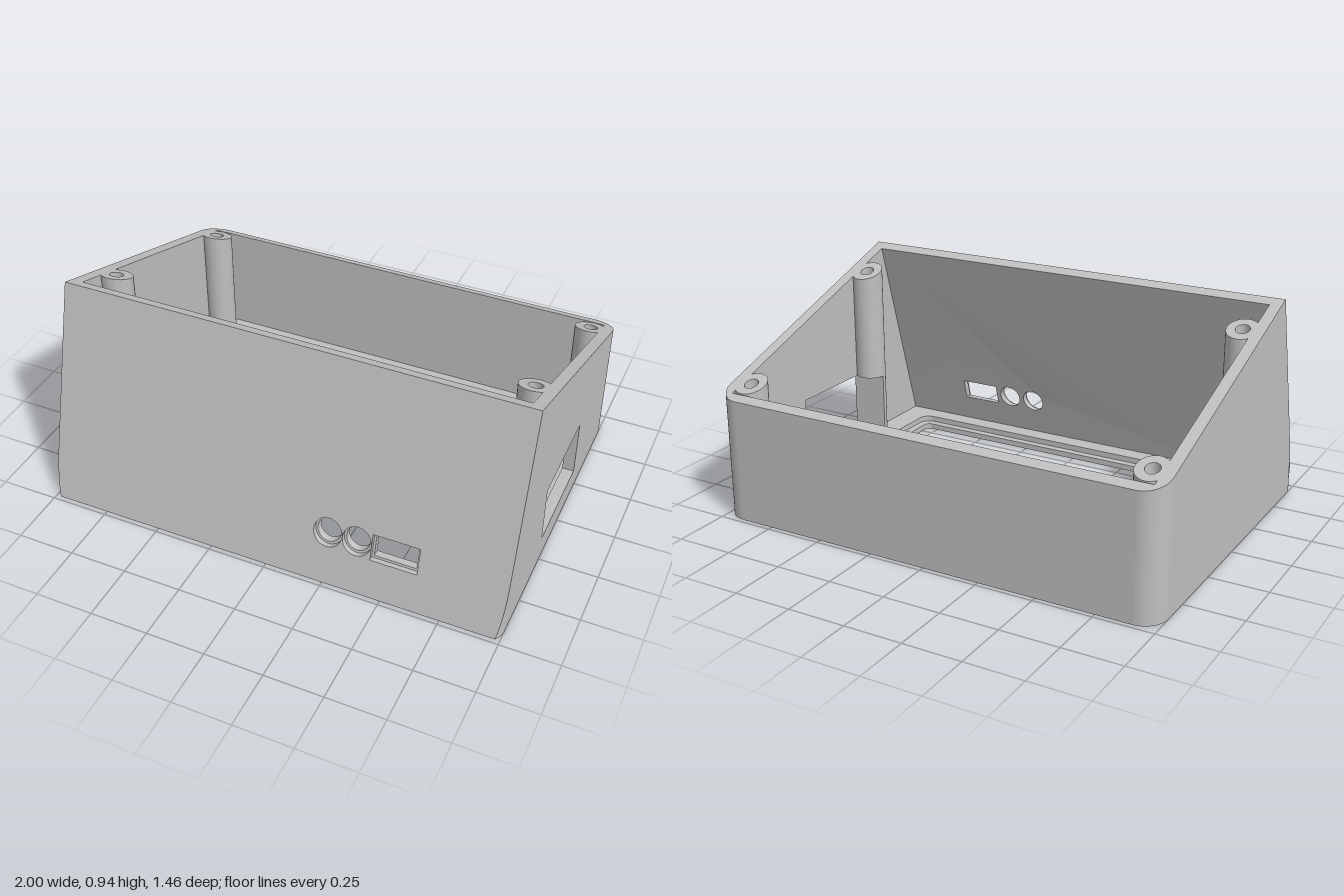
import * as THREE from 'three';
import { toCreasedNormals } from 'three/addons/utils/BufferGeometryUtils.js';

const SIDE = 0.95;                                 // inner face of the side walls
const BACK = -0.73, CORNER_Z = 0.67, R = 0.1;      // footprint and corner radius
const topY = z => 0.935 - (0.465 - z) * 0.339;     // sloping rim
const frontZ = y => 0.73 - 0.2834 * y;             // leaning front

const poly = pts => new THREE.Shape(pts.map(p => new THREE.Vector2(p[0], p[1])));
const rectPath = (x0, y0, x1, y1) =>
  new THREE.Path([[x0, y0], [x1, y0], [x1, y1], [x0, y1]].map(p => new THREE.Vector2(...p)));
const circlePath = (x, y, r) => new THREE.Path().absarc(x, y, r, 0, Math.PI * 2, true);

function roundedPath(x0, y0, x1, y1, r) {
  const p = new THREE.Path();
  p.absarc(x1 - r, y1 - r, r, 0, Math.PI / 2);
  p.absarc(x0 + r, y1 - r, r, Math.PI / 2, Math.PI);
  p.absarc(x0 + r, y0 + r, r, Math.PI, Math.PI * 1.5);
  p.absarc(x1 - r, y0 + r, r, Math.PI * 1.5, Math.PI * 2);
  p.closePath();
  return p;
}

const extrude = (shape, depth) =>
  new THREE.ExtrudeGeometry(shape, { depth, bevelEnabled: false, curveSegments: 20 });

// Move every vertex by a rule, then rebuild normals with sharp edges kept
function reshape(geo, rule) {
  const p = geo.attributes.position, v = new THREE.Vector3();
  for (let i = 0; i < p.count; i++) {
    v.fromBufferAttribute(p, i);
    rule(v);
    p.setXYZ(i, v.x, v.y, v.z);
  }
  geo.computeVertexNormals();
  return toCreasedNormals(geo, 0.6);
}

// Plan shape (x, -z) raised from y0 to y1; without y1 it ends at the sloping rim
const raise = (shape, y0, y1) => reshape(extrude(shape, 1).rotateX(-Math.PI / 2), v => {
  v.y = v.y > 0.5 ? (y1 ?? topY(v.z)) : y0;
});

export function createModel() {
  const model = new THREE.Group();
  const grey = new THREE.MeshStandardMaterial({ color: 0xc0c0c0 });
  grey.name = 'light grey';
  const add = (name, geo) => {
    const mesh = new THREE.Mesh(geo, grey);
    mesh.name = name;
    model.add(mesh);
  };

  // Side walls, with a socket opening in the left one
  for (const s of [1, -1]) {
    const x0 = s > 0 ? SIDE : -1;
    const bendY = (0.73 - CORNER_Z) / 0.2834;
    const wall = poly([[-CORNER_Z, 0], [0.63, 0], [0.63, topY(-0.63)], [-0.465, 0.935], [-CORNER_Z, bendY]]);
    if (s > 0) wall.holes.push(rectPath(-0.235, 0.105, 0.21, 0.36));
    add(s > 0 ? 'leftWall' : 'rightWall',
      extrude(wall, 0.05).rotateY(Math.PI / 2).translate(x0, 0, 0));

    // Rounded lower front corner
    const pts = [];
    for (let i = 0; i <= 6; i++) pts.push([-CORNER_Z - i * 0.01, 0]);
    for (let i = 5; i >= 0; i--) pts.push([-CORNER_Z - i * 0.01, bendY * (1 - i / 6)]);
    add('frontCorner', reshape(
      extrude(poly(pts.reverse()), 0.05).rotateY(Math.PI / 2).translate(x0, 0, 0), v => {
        const d = v.z - CORNER_Z;
        if (Math.abs(v.x) > 0.99 && d > 0) v.x = s * (0.9 + Math.sqrt(R * R - d * d));
      }));
  }

  // Back wall with rounded corners
  const back = new THREE.Shape();
  back.moveTo(1, 0.63);
  back.absarc(0.9, 0.63, R, 0, Math.PI / 2);
  back.absarc(-0.9, 0.63, R, Math.PI / 2, Math.PI);
  for (const [x, y] of [[-SIDE, 0.63], [-SIDE, 0.685], [SIDE, 0.685], [SIDE, 0.63]]) back.lineTo(x, y);
  back.closePath();
  add('backWall', raise(back, 0));

  // Leaning front wall in two layers; the openings have a small step
  for (const [name, d0, d1, inset] of [['frontWallOuter', 0, 0.02, 0], ['frontWallInner', 0.02, 0.05, 0.01]]) {
    const wall = poly([[-SIDE, 0], [SIDE, 0], [SIDE, 0.935], [-SIDE, 0.935]]);
    wall.holes.push(
      circlePath(0.25, 0.22, 0.061 - inset),
      circlePath(0.374, 0.22, 0.061 - inset),
      rectPath(0.437 + inset, 0.16 + inset, 0.635 - inset, 0.27 - inset));
    add(name, reshape(extrude(wall, d1 - d0), v => {
      v.z = frontZ(v.y) - d1 + v.z;
      if (v.y > 0.9) v.y = topY(v.z);
    }));
  }

  // Floor frame: a lower lip and a wider rebate above it
  for (const [name, y0, y1, grow] of [['floorLip', 0, 0.025, 0], ['floorFrame', 0.025, 0.05, 0.035]]) {
    const floor = poly([[-SIDE, -0.7], [SIDE, -0.7], [SIDE, 0.685], [-SIDE, 0.685]]);
    floor.holes.push(roundedPath(-0.805 - grow, -0.55 - grow, 0.805 + grow, 0.563 + grow, 0.03 + grow * 0.6));
    add(name, raise(floor, y0, y1));
  }

  // Screw posts with blind holes; the one beside the socket is notched
  const disc = (x, z, a0 = 0, a1 = Math.PI * 2) => {
    const s = new THREE.Shape().absarc(x, -z, 0.068, a0, a1);
    s.closePath();
    return s;
  };
  for (const x of [-0.908, 0.908]) {
    for (const z of [-0.61, 0.235]) {
      const tube = disc(x, z);
      tube.holes.push(circlePath(x, -z, 0.03));
      add('screwPostTop', raise(tube, 0.4));
      if (x > 0 && z > 0) {
        add('screwPostBase', raise(disc(x, z), 0.04, 0.105));
        add('screwPostNotch', raise(disc(x, z, Math.PI, Math.PI * 2), 0.105, 0.36));
        add('screwPostMiddle', raise(disc(x, z), 0.36, 0.4));
      } else {
        add('screwPostBase', raise(disc(x, z), 0.04, 0.4));
      }
    }
  }
  return model;
}
